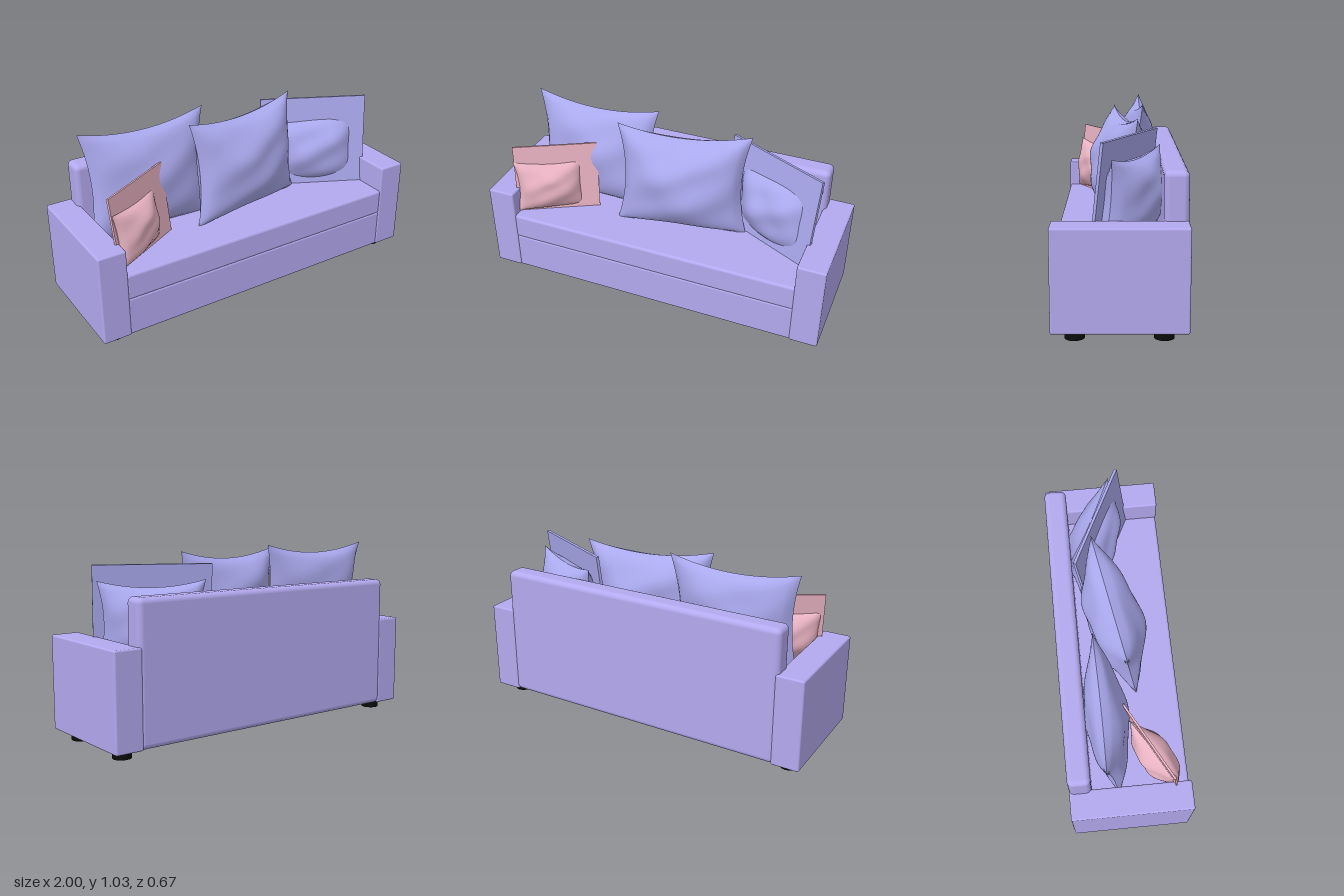
import * as THREE from 'three';
import { mergeGeometries } from 'three/addons/utils/BufferGeometryUtils.js';
import { RoundedBoxGeometry } from 'three/addons/geometries/RoundedBoxGeometry.js';

const material = (color) => new THREE.MeshStandardMaterial({ color });

// Stuffed cushion: two bulging sheets that meet in a pinched seam
function cushionGeometry(width, height, thickness, seed) {
  const sheet = (side) => {
    const geo = new THREE.PlaneGeometry(2, 2, 28, 28);
    const p = geo.attributes.position;
    for (let i = 0; i < p.count; i++) {
      const u = p.getX(i), v = p.getY(i);
      const a = Math.max(0, 1 - u * u), b = Math.max(0, 1 - v * v);
      const puff = Math.pow(a * b, 0.6);
      const folds = 1 + 0.07 * Math.sin(5 * u + 3 * v + seed + side) + 0.05 * Math.sin(7 * v - 4 * u + seed * 2);
      p.setXYZ(i,
        u * width / 2 * (1 - 0.12 * b),
        v * height / 2 * (1 - (v > 0 ? 0.17 : 0.06) * a),
        puff * thickness / 2 * folds);
    }
    geo.computeVertexNormals();
    if (side) geo.rotateY(Math.PI);
    return geo;
  };
  return mergeGeometries([sheet(0), sheet(1)]);
}

export function createModel() {
  const model = new THREE.Group();
  const fabric = material(0xb3a9ef);
  const blue = material(0xaaa9ee);
  const pink = material(0xe8b2c2);
  const black = material(0x0c0c0c);

  const add = (name, geometry, mat, x, y, z, yaw = 0, lean = 0) => {
    const mesh = new THREE.Mesh(geometry, mat);
    mesh.name = name;
    mesh.position.set(x, y, z);
    mesh.rotation.set(-lean, yaw, 0, 'YXZ');
    model.add(mesh);
    return mesh;
  };
  // Rounded block given by its limits
  const block = (name, x0, x1, y0, y1, z0, z1, r) =>
    add(name, new RoundedBoxGeometry(x1 - x0, y1 - y0, z1 - z0, 4, r), fabric,
      (x0 + x1) / 2, (y0 + y1) / 2, (z0 + z1) / 2);

  // Sofa body
  block('base', -0.85, 0.85, 0.05, 0.272, -0.3, 0.328, 0.012);
  block('seat', -0.85, 0.85, 0.268, 0.418, -0.25, 0.33, 0.015);
  block('backrest', -0.86, 0.86, 0.05, 0.81, -0.333, -0.21, 0.03);

  // Arms and feet, mirrored
  for (const [side, s] of [['left', 1], ['right', -1]]) {
    const [x0, x1] = s > 0 ? [0.842, 1] : [-1, -0.842];
    block(side + 'Arm', x0, x1, 0.05, 0.568, -0.333, 0.333, 0.01);
    for (const [end, z] of [['Front', 0.22], ['Back', -0.215]]) {
      add(side + end + 'Foot', new THREE.CylinderGeometry(0.05, 0.05, 0.052, 24), black, s * 0.9, 0.026, z);
    }
  }

  // Large cushions
  add('rightCushion', cushionGeometry(0.75, 0.63, 0.22, 1), blue, -0.493, 0.718, -0.095, 0.01, 0.11);
  add('middleCushion', cushionGeometry(0.755, 0.61, 0.31, 2.5), blue, 0.08, 0.708, 0.0, 0.17, 0.1);

  // Angled cushion with a flat panel through it
  add('leftCushion', cushionGeometry(0.57, 0.47, 0.27, 4), blue, 0.615, 0.635, -0.065, -0.457, 0.1);
  add('leftPanel', new THREE.BoxGeometry(0.63, 0.54, 0.016), blue, 0.585, 0.68, -0.025, -0.457, 0.12);

  // Small pink cushion and its panel
  add('pinkCushion', cushionGeometry(0.41, 0.32, 0.18, 5.5), pink, -0.69, 0.575, 0.15, 0.58, 0.1);
  add('pinkPanel', new THREE.BoxGeometry(0.48, 0.41, 0.012), pink, -0.655, 0.617, 0.13, 0.5, 0.12);

  return model;
}
